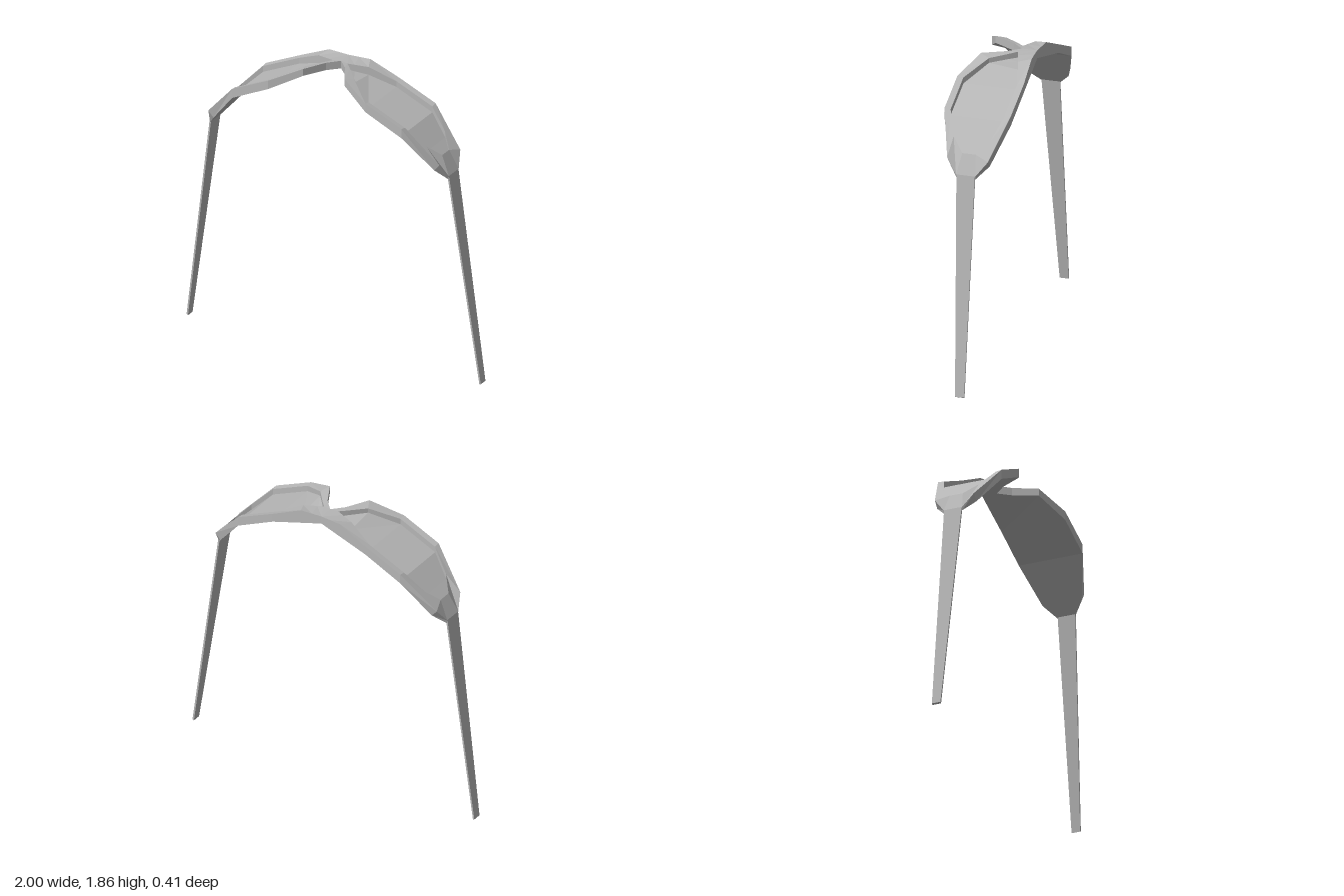
import * as THREE from 'three';

const grey = new THREE.MeshStandardMaterial({ color: 0xb6b6b6 });
grey.name = 'grey plastic';
grey.flatShading = true;

// Mesh from quads or triangles given as corner points; side -1 mirrors it in x
function facetMesh(name, faces, side) {
  const pos = [];
  for (const f of faces) {
    for (let k = 1; k < f.length - 1; k++) {
      const tri = side > 0 ? [f[0], f[k], f[k + 1]] : [f[0], f[k + 1], f[k]];
      for (const [x, y, z] of tri) pos.push(x * side, y, z);
    }
  }
  const geo = new THREE.BufferGeometry();
  geo.setAttribute('position', new THREE.Float32BufferAttribute(pos, 3));
  geo.computeVertexNormals();
  const mesh = new THREE.Mesh(geo, grey);
  mesh.name = name;
  return mesh;
}

// Faces between two rows of points
function strip(a, b) {
  const faces = [];
  for (let i = 0; i < a.length - 1; i++) faces.push([a[i], b[i], b[i + 1], a[i + 1]]);
  return faces;
}

// Outer edge, from the bridge to the hinge: x, top y, back z, front z
const outer = [
  [0, 1.86, -0.185, -0.09], [0.065, 1.86, -0.19, -0.02], [0.14, 1.86, -0.196, 0.12],
  [0.33, 1.775, -0.21, 0.205], [0.575, 1.665, -0.21, 0.205],
  [0.785, 1.44, -0.135, 0.12], [0.813, 1.35, -0.065, 0.055],
];
// Lower edge: x, back y, front y
const lower = [
  [0, 1.81, 1.81], [0.065, 1.792, 1.812], [0.14, 1.772, 1.815], [0.33, 1.72, 1.72],
  [0.575, 1.605, 1.605], [0.75, 1.4, 1.4], [0.808, 1.33, 1.33],
];
// Lens opening: x, rim y, back z, front z, lens back y, lens front y
const inner = [
  [0.05, 1.857, -0.08, -0.08, 1.82, 1.82], [0.09, 1.853, -0.093, -0.035, 1.81, 1.82],
  [0.17, 1.845, -0.12, 0.06, 1.795, 1.815], [0.33, 1.77, -0.17, 0.167, 1.732, 1.732],
  [0.575, 1.66, -0.17, 0.167, 1.622, 1.622], [0.69, 1.54, -0.12, 0.11, 1.505, 1.505],
  [0.757, 1.467, -0.05, 0.035, 1.44, 1.44],
];

function buildSide(side) {
  const g = new THREE.Group();
  g.name = side > 0 ? 'leftHalf' : 'rightHalf';
  const topB = outer.map(([x, y, b]) => [x, y, b]);
  const topF = outer.map(([x, y, , f]) => [x, y, f]);
  const lowB = lower.map(([x, b], i) => [x, b, outer[i][2]]);
  const lowF = lower.map(([x, , f], i) => [x, f, outer[i][3]]);
  const rimB = inner.map(([x, y, b]) => [x, y, b]);
  const rimF = inner.map(([x, y, , f]) => [x, y, f]);
  const lensB = inner.map(([x, , b, , y]) => [x, y, b]);
  const lensF = inner.map(([x, , , f, , y]) => [x, y, f]);
  const n = outer.length - 1;

  // Rim with its outer walls, opening walls, bridge corner and hinge end
  g.add(facetMesh('frame', [
    ...strip(topB, rimB), ...strip(rimF, topF),
    ...strip(rimB, lensB), ...strip(lensF, rimF),
    ...strip(lowB, topB), ...strip(topF, lowF),
    [topB[0], topF[0], rimB[0]],
    [rimB[n], rimF[n], topF[n], topB[n]],
    [rimB[n], lensB[n], lensF[n], rimF[n]],
    [topB[n], topF[n], lowF[n], lowB[n]],
  ], side));

  // Recessed lens and the plain back surface
  g.add(facetMesh('lens', strip(lensB, lensF), side));
  g.add(facetMesh('lensBack', strip(lowF, lowB), side));

  // Tapered temple arm, splayed outwards
  const o = [[0.813, 1.35, -0.062], [0.813, 1.35, 0.053], [1, 0.006, 0], [1, 0.006, -0.056]];
  const i = [[0.803, 1.345, -0.062], [0.803, 1.345, 0.053], [0.99, 0, 0], [0.99, 0, -0.056]];
  const arm = [o, [...i].reverse()];
  for (let k = 0; k < 4; k++) {
    const m = (k + 1) % 4;
    arm.push([o[k], i[k], i[m], o[m]]);
  }
  g.add(facetMesh('temple', arm, side));
  return g;
}

export function createModel() {
  const model = new THREE.Group();
  model.name = 'sunglasses';
  model.add(buildSide(1), buildSide(-1));
  return model;
}
